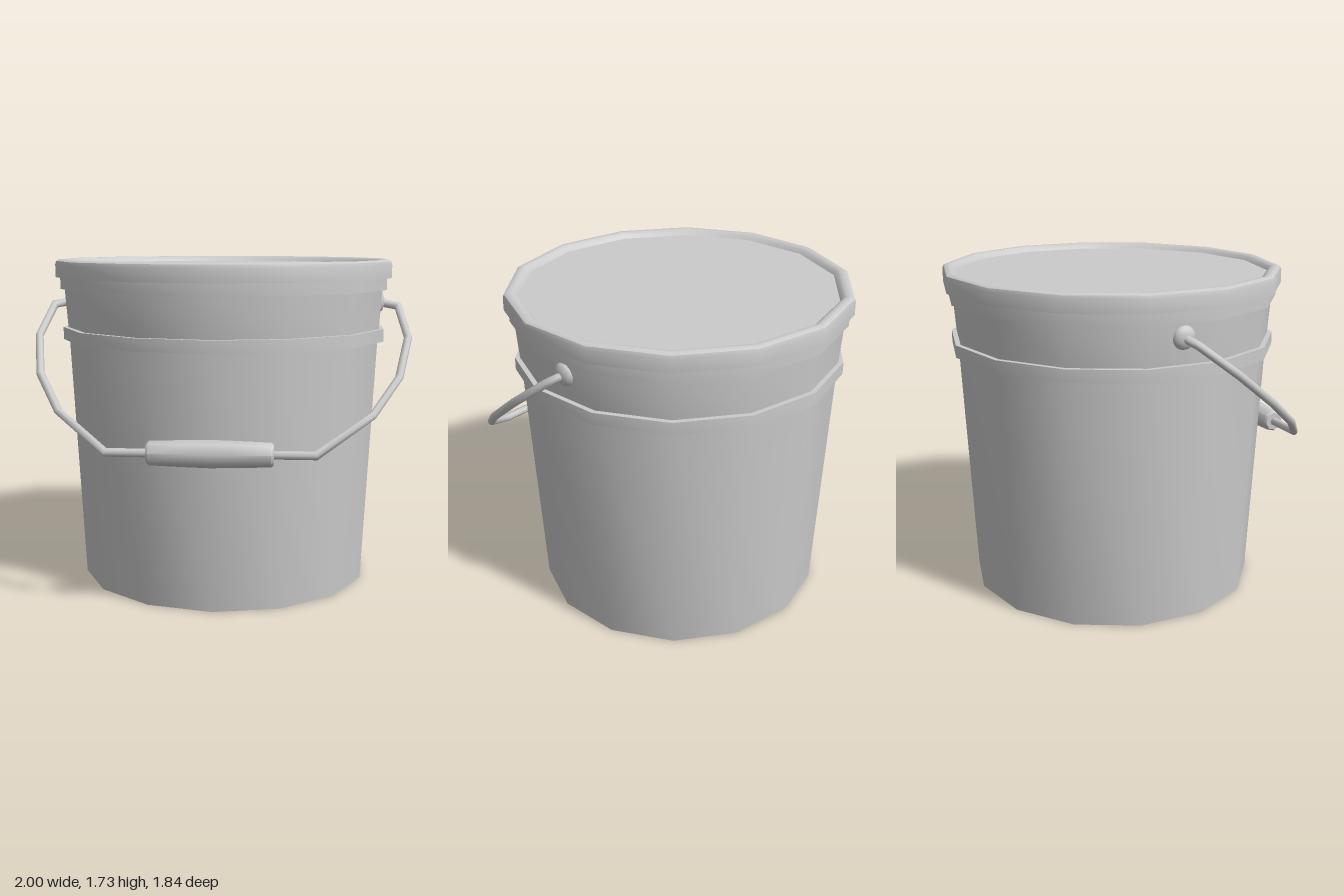
import * as THREE from 'three';
import { toCreasedNormals } from 'three/addons/utils/BufferGeometryUtils.js';

const SIDES = 14;
const material = new THREE.MeshStandardMaterial({ color: 0xcccccc });

function addMesh(parent, name, geometry) {
  const mesh = new THREE.Mesh(geometry, material);
  mesh.name = name;
  parent.add(mesh);
  return mesh;
}

// Turned part from [radius, height] pairs, listed upwards along the outside.
function turned(profile, sides, crease) {
  const points = profile.map(([r, y]) => new THREE.Vector2(r, y));
  return toCreasedNormals(new THREE.LatheGeometry(points, sides), crease);
}

// Round bar with mitred corners along a path in the xy plane.
function bentBar(path, radius, sides) {
  const positions = [], indices = [];
  const points = path.map(([x, y]) => new THREE.Vector2(x, y));
  points.forEach((p, i) => {
    const before = p.clone().sub(points[Math.max(i - 1, 0)]).normalize();
    const after = points[Math.min(i + 1, points.length - 1)].clone().sub(p).normalize();
    const tangent = before.clone().add(after).normalize();
    const mitre = 1 / tangent.dot(i ? before : after);
    for (let j = 0; j < sides; j++) {
      const a = (j / sides) * Math.PI * 2;
      const side = Math.cos(a) * radius * mitre;
      positions.push(p.x - tangent.y * side, p.y + tangent.x * side, Math.sin(a) * radius);
      if (i === points.length - 1) continue;
      const k = i * sides + j, n = i * sides + ((j + 1) % sides);
      indices.push(k, n, k + sides, n, n + sides, k + sides);
    }
  });
  const geometry = new THREE.BufferGeometry();
  geometry.setAttribute('position', new THREE.Float32BufferAttribute(positions, 3));
  geometry.setIndex(indices);
  geometry.computeVertexNormals();
  return geometry;
}

export function createModel() {
  const model = new THREE.Group();
  model.name = 'bucket';
  const bucket = new THREE.Group();
  bucket.name = 'bucketAssembly';
  bucket.position.z = -0.02;
  model.add(bucket);

  // Tapered body with a stiffening band and a collar under the lid
  const body = addMesh(bucket, 'body', turned([
    [0, 0], [0.77, 0], [0.834, 1.305], [0.866, 1.305], [0.866, 1.37], [0.84, 1.37],
    [0.855, 1.575], [0.877, 1.575], [0.877, 1.64],
  ], SIDES, 0.6));

  // Lid with a rounded rim and a slightly sunken panel
  const lid = addMesh(bucket, 'lid', turned([
    [0.86, 1.637], [0.901, 1.637], [0.901, 1.705], [0.896, 1.722], [0.88, 1.731],
    [0.855, 1.73], [0.838, 1.72], [0.825, 1.702], [0, 1.702],
  ], SIDES, 0.75));
  body.scale.x = lid.scale.x = 1.013;

  // Round pivots on both sides
  for (const side of [-1, 1]) {
    const ear = addMesh(bucket, side > 0 ? 'leftPivot' : 'rightPivot',
      new THREE.SphereGeometry(0.06, 12, 8));
    ear.scale.x = 0.55;
    ear.position.set(side * 0.837, 1.503, 0);
  }

  // Handle hangs from the pivots, tilted forwards against the body
  const handle = new THREE.Group();
  handle.name = 'handle';
  handle.position.y = 1.5;
  handle.rotation.x = -0.915;
  bucket.add(handle);

  const half = [[0.84, 0], [0.94, -0.03], [0.98, -0.28], [0.92, -0.574], [0.78, -0.836], [0.505, -1.1]];
  const path = [...half.map(([x, y]) => [-x, y]), ...half.slice().reverse()];
  addMesh(handle, 'handleWire', bentBar(path, 0.021, 8));

  // Barrel-shaped grip
  const grip = addMesh(handle, 'grip', turned([
    [0, -0.305], [0.05, -0.305], [0.059, -0.293], [0.065, -0.12], [0.068, 0],
    [0.065, 0.12], [0.059, 0.293], [0.05, 0.305], [0, 0.305],
  ], 8, 0.85));
  grip.rotation.z = Math.PI / 2;
  grip.position.y = -1.1;

  return model;
}
